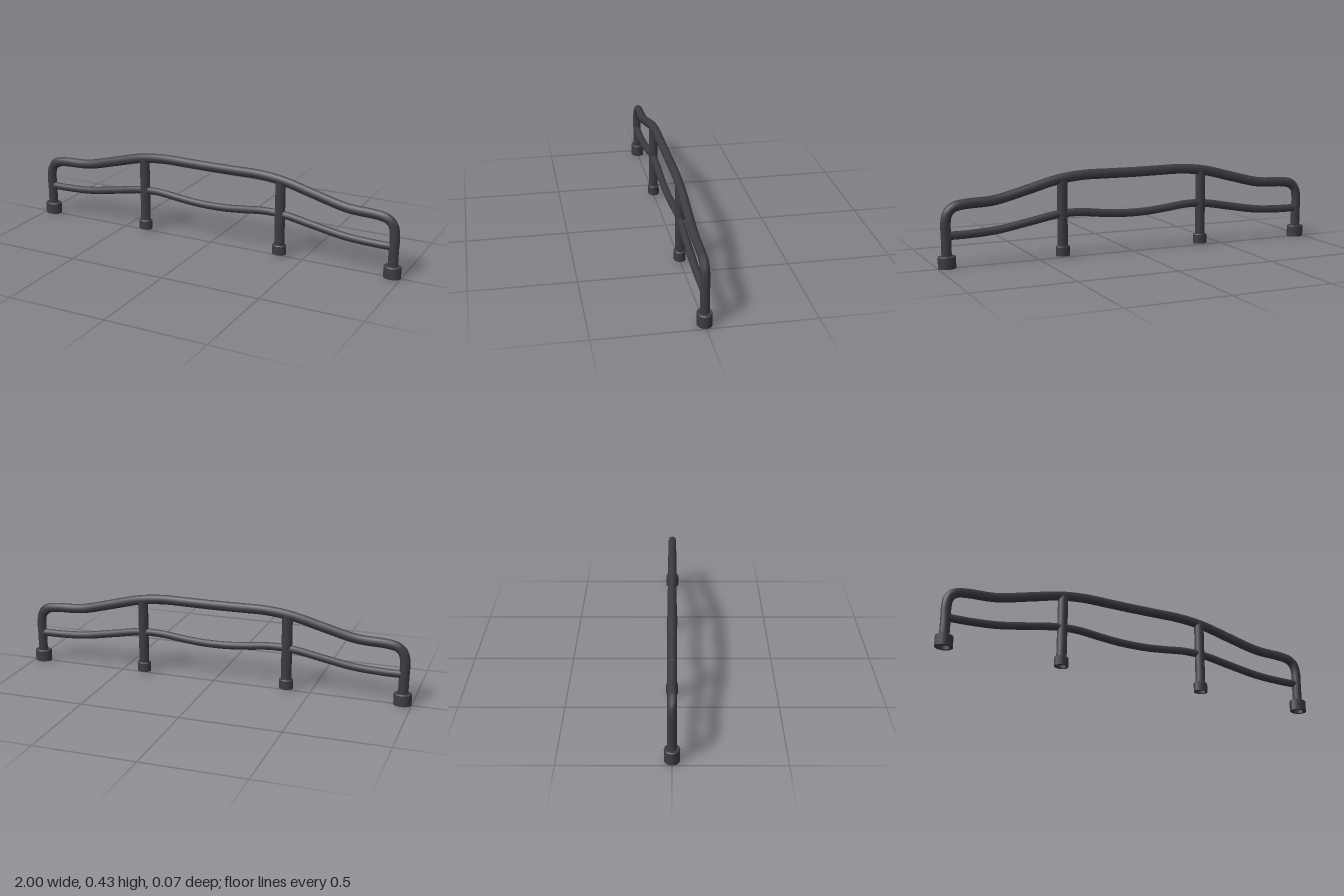
import * as THREE from 'three';

const SIDES = 8;
const metal = new THREE.MeshStandardMaterial({ color: 0x3c3c44 });

// Mirrors a half path (outer end to centre) and sweeps a tube along it
function rail(name, half, radius, segments, depth) {
  const mirrored = half.slice(0, -1).reverse().map(([x, y]) => [-x, y]);
  const points = [...half, ...mirrored].map(([x, y]) => new THREE.Vector3(x, y, 0));
  const curve = new THREE.CatmullRomCurve3(points, false, 'centripetal');
  const mesh = new THREE.Mesh(new THREE.TubeGeometry(curve, segments, radius, SIDES), metal);
  mesh.name = name;
  mesh.scale.z = depth;
  return mesh;
}

// Socket with a sharp-edged wall and a recess in its underside
function collar(name, x, bottom, top, radius, inner, depth) {
  const group = new THREE.Group();
  group.name = name;
  const recess = bottom + 0.02;
  const corners = [[0, recess], [inner, recess], [inner, bottom], [radius, bottom],
    [radius, top - 0.004], [radius - 0.004, top], [0, top]];
  for (let i = 0; i < corners.length - 1; i++) {
    const edge = [corners[i], corners[i + 1]].map(([r, y]) => new THREE.Vector2(r, y));
    group.add(new THREE.Mesh(new THREE.LatheGeometry(edge, 12, Math.PI / 2), metal));
  }
  group.position.x = x;
  group.scale.z = depth;
  return group;
}

export function createModel() {
  const model = new THREE.Group();
  model.name = 'railing';

  // Upper rail, bending down into the two end posts
  model.add(rail('upperRail', [
    [-0.957, 0.03], [-0.957, 0.13], [-0.957, 0.225], [-0.945, 0.265], [-0.918, 0.288],
    [-0.87, 0.298], [-0.72, 0.307], [-0.55, 0.348], [-0.4, 0.386], [-0.27, 0.401],
    [-0.14, 0.401], [0, 0.4],
  ], 0.025, 120, 0.87));

  // Wavy lower rail between the end posts
  model.add(rail('lowerRail', [
    [-0.957, 0.154], [-0.86, 0.154], [-0.71, 0.163], [-0.55, 0.19], [-0.4, 0.216],
    [-0.29, 0.219], [-0.18, 0.207], [-0.08, 0.198], [0, 0.196],
  ], 0.02, 80, 0.95));

  for (const side of [-1, 1]) {
    // Inner posts
    const post = new THREE.Mesh(new THREE.CylinderGeometry(0.027, 0.027, 0.355, SIDES), metal);
    post.name = 'innerPost';
    post.position.set(side * 0.378, 0.2125, 0);
    post.scale.z = 0.85;
    model.add(post);

    // Sockets under all posts
    model.add(collar('innerCollar', side * 0.378, 0.01, 0.059, 0.036, 0.026, 0.8));
    model.add(collar('endCollar', side * 0.956, 0, 0.059, 0.044, 0.03, 0.8));
  }
  return model;
}
